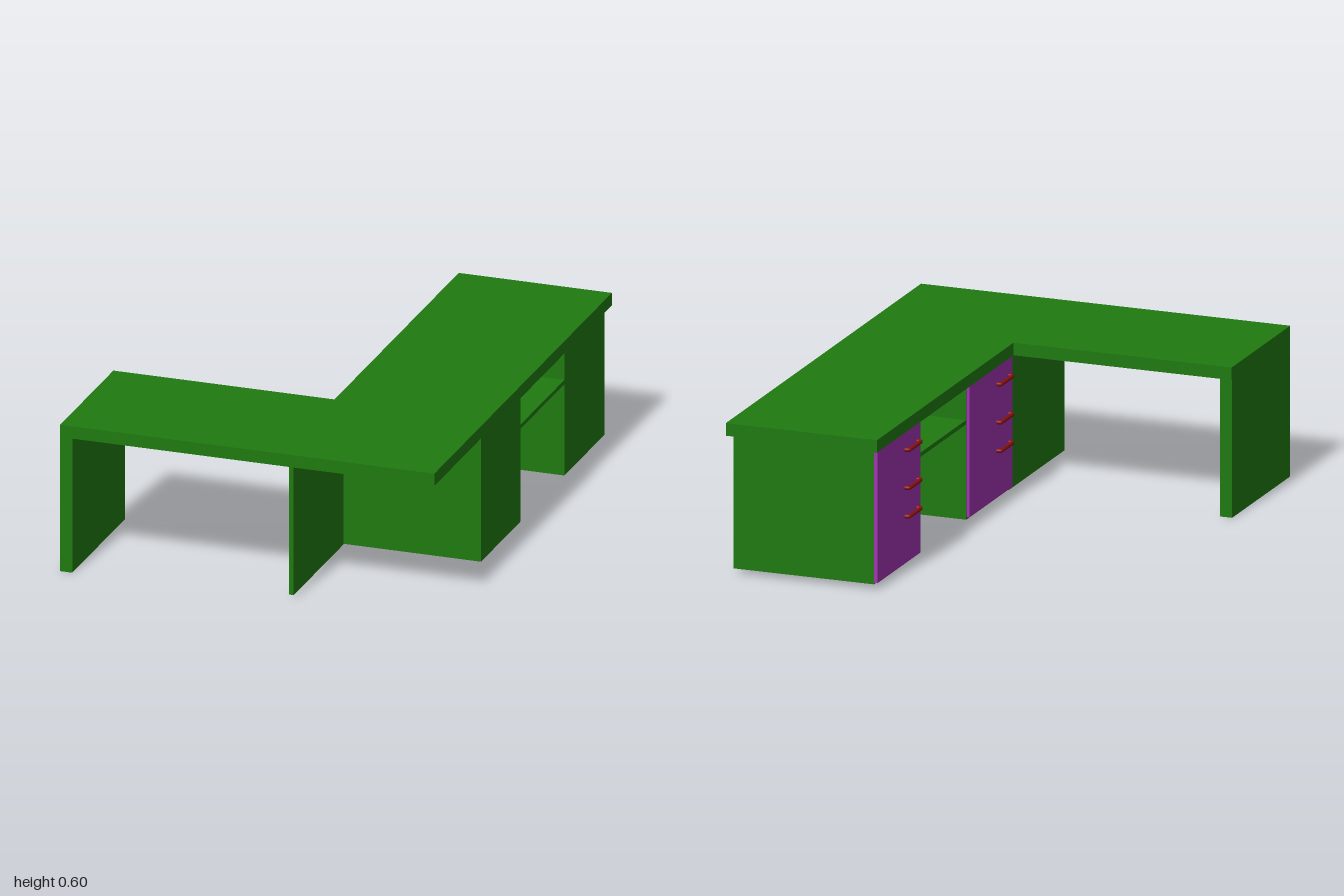
import * as THREE from 'three';

const green = new THREE.MeshStandardMaterial({ color: 0x1f7a0f });
const purple = new THREE.MeshStandardMaterial({ color: 0xa035b0 });
const red = new THREE.MeshStandardMaterial({ color: 0x8b1010 });

// Box given by its minimum and maximum corners
function box(name, material, [x0, y0, z0], [x1, y1, z1]) {
  const mesh = new THREE.Mesh(new THREE.BoxGeometry(x1 - x0, y1 - y0, z1 - z0), material);
  mesh.position.set((x0 + x1) / 2, (y0 + y1) / 2, (z0 + z1) / 2);
  mesh.name = name;
  return mesh;
}

// Bracket-shaped pull: a thin rod with two bent ends, running along z
function makeHandle(y, z) {
  const xDoor = 0.146, xOut = 0.126, half = 0.062, bend = 0.008;
  const v = (x, dz) => new THREE.Vector3(x, 0, dz);
  const path = new THREE.CurvePath();
  path.add(new THREE.LineCurve3(v(xDoor, -half), v(xOut + bend, -half)));
  path.add(new THREE.QuadraticBezierCurve3(v(xOut + bend, -half), v(xOut, -half), v(xOut, -half + bend)));
  path.add(new THREE.LineCurve3(v(xOut, -half + bend), v(xOut, half - bend)));
  path.add(new THREE.QuadraticBezierCurve3(v(xOut, half - bend), v(xOut, half), v(xOut + bend, half)));
  path.add(new THREE.LineCurve3(v(xOut + bend, half), v(xDoor, half)));
  const mesh = new THREE.Mesh(new THREE.TubeGeometry(path, 48, 0.008, 10), red);
  mesh.position.set(0, y, z);
  mesh.name = 'handle';
  return mesh;
}

// Cabinet body with a coloured front on its -x side and three pulls
function makeCabinet(name, y0, z0, z1, handleZ) {
  const group = new THREE.Group();
  group.name = name;
  group.add(box('cabinetBody', green, [0.155, y0, z0], [0.73, 0.55, z1]));
  group.add(box('drawerFront', purple, [0.142, 0.025, z0 + 0.003], [0.155, 0.548, z1 - 0.003]));
  for (const y of [0.212, 0.325, 0.476]) group.add(makeHandle(y, handleZ));
  return group;
}

export function createModel() {
  const desk = new THREE.Group();
  desk.name = 'cornerDesk';

  // L-shaped worktop, drawn in plan (shape y = -z) and extruded upward
  const plan = new THREE.Shape([
    [-0.755, -1], [0.755, -1], [0.755, 1], [0.137, 1], [0.137, -0.4], [-0.755, -0.4],
  ].map(([x, y]) => new THREE.Vector2(x, y)));
  const topGeometry = new THREE.ExtrudeGeometry(plan, { depth: 0.05, bevelEnabled: false });
  topGeometry.rotateX(-Math.PI / 2).translate(0, 0.547, 0);
  const top = new THREE.Mesh(topGeometry, green);
  top.name = 'worktop';
  desk.add(top);

  // Upright panels below the wing
  desk.add(box('endPanel', green, [-0.755, 0, 0.405], [-0.706, 0.548, 1]));
  desk.add(box('innerPanel', green, [0.155, 0.012, 0.4], [0.175, 0.548, 0.965]));

  // Cabinets and the shelf between them
  desk.add(makeCabinet('cornerCabinet', 0.015, -0.04, 0.405, 0.305));
  desk.add(makeCabinet('rearCabinet', 0.02, -0.985, -0.535, -0.635));
  desk.add(box('shelf', green, [0.155, 0.393, -0.535], [0.73, 0.41, -0.04]));

  return desk;
}
